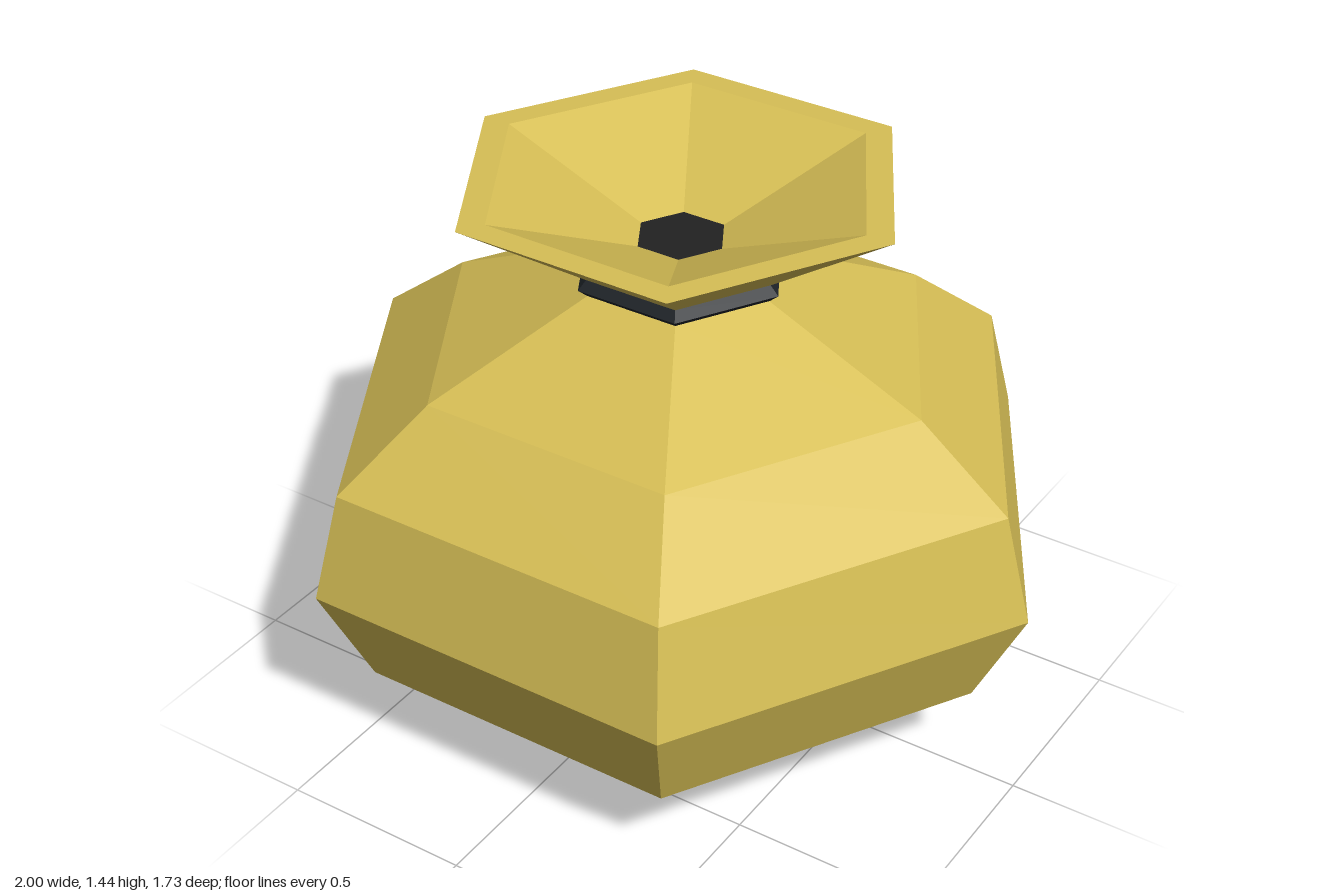
import * as THREE from 'three';

const gold = new THREE.MeshStandardMaterial({ color: 0xd6be55 });
gold.name = 'goldenCloth';
const cordDark = new THREE.MeshStandardMaterial({ color: 0x1e2328 });
cordDark.name = 'darkCord';
const holeDark = new THREE.MeshStandardMaterial({ color: 0x222222 });
holeDark.name = 'darkOpening';

// Six-sided faceted solid of revolution with corners on the x axis
function hexLathe(name, material, profile) {
  const points = profile.map(([r, y]) => new THREE.Vector2(r, y));
  const geometry = new THREE.LatheGeometry(points, 6, Math.PI / 2).toNonIndexed();
  geometry.computeVertexNormals();
  const mesh = new THREE.Mesh(geometry, material);
  mesh.name = name;
  return mesh;
}

export function createModel() {
  const group = new THREE.Group();
  group.name = 'pouch';

  // Bulging bag, from the pointed underside up to the tied neck
  group.add(hexLathe('bag', gold, [
    [0, 0], [0.5, 0.035], [0.865, 0.24], [1, 0.52],
    [0.925, 0.8], [0.68, 0.99], [0.25, 1.18],
  ]));

  // Flared mouth: outer wall, flat rim, then inner wall
  group.add(hexLathe('mouth', gold, [
    [0.25, 1.18], [0.25, 1.22], [0.585, 1.44], [0.51, 1.44], [0.115, 1.28],
  ]));

  // Cord around the neck, with a ridge at mid height
  group.add(hexLathe('cord', cordDark, [
    [0.2, 1.18], [0.255, 1.18], [0.278, 1.2], [0.255, 1.225], [0.2, 1.225],
  ]));

  // Dark opening at the bottom of the mouth
  group.add(hexLathe('opening', holeDark, [[0.118, 1.281], [0, 1.281]]));

  return group;
}
